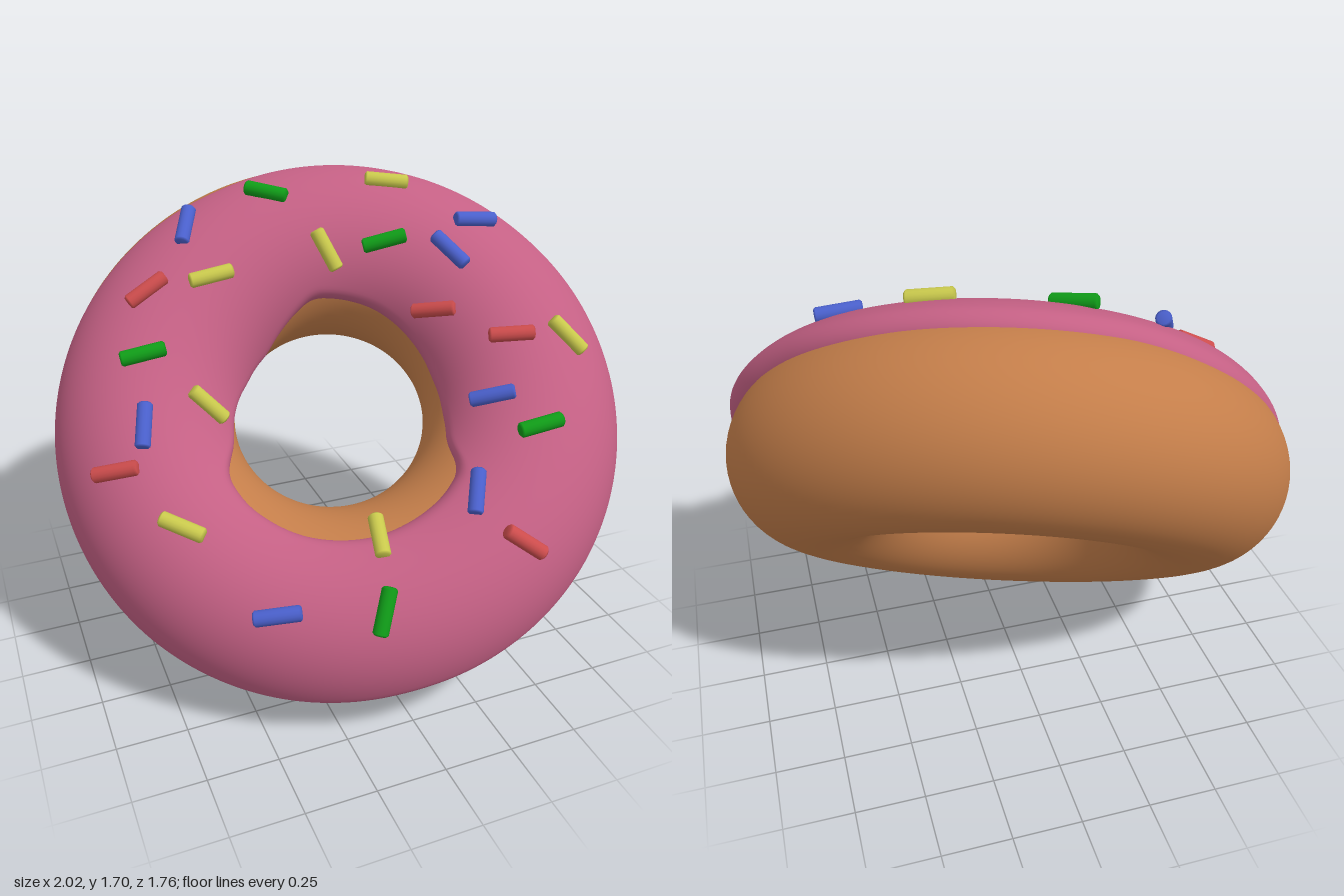
import * as THREE from 'three';

const R = 0.69, r = 0.33; // ring radius, tube radius
const RAD = Math.PI / 180;
const CENTRE = new THREE.Vector3(0, 0.833, -0.047);
// ring frame: U and V lie in the ring's plane, N is its axis
const N = new THREE.Vector3(-0.24, 0.686, 0.686).normalize();
const V = new THREE.Vector3(0, 1, -1).normalize();
const U = new THREE.Vector3().crossVectors(V, N).normalize();
const SHIFT = new THREE.Vector3(0.02, -0.046, 0.06); // icing slides down and lifts off

// icing limits: [degrees around ring, degrees around tube]
const OUTER = [[0, 22], [26, 37], [60, 45], [105, 48], [140, 32], [170, 14],
  [215, 8], [245, 13], [270, 18], [315, 13], [345, 13], [354, 20]];
const INNER = [[0, 155], [20, 153], [50, 148], [85, 145], [105, 157], [125, 168],
  [150, 167], [170, 159], [190, 151], [197, 143], [205, 130], [220, 124], [245, 119],
  [270, 117], [300, 118], [313, 121], [322, 139], [340, 150]];

// periodic linear lookup, softened by averaging nearby angles
function limit(table, deg) {
  let sum = 0;
  for (let k = -3; k <= 3; k++) {
    const d = (deg + k * 1.5 + 720) % 360;
    let i = table.length - 1;
    while (table[i][0] > d) i--;
    const a = table[i];
    const b = i + 1 < table.length ? table[i + 1] : [360, table[0][1]];
    sum += THREE.MathUtils.mapLinear(d, a[0], b[0], a[1], b[1]);
  }
  return sum / 7;
}

function tubeNormal(theta, phi) {
  return new THREE.Vector3(Math.cos(theta) * Math.cos(phi), Math.sin(theta) * Math.cos(phi), Math.sin(phi));
}

function tubePoint(theta, phi, offset) {
  return new THREE.Vector3(R * Math.cos(theta), R * Math.sin(theta), 0)
    .addScaledVector(tubeNormal(theta, phi), r + offset);
}

function icingThickness(theta, phi) {
  return 0.015 + SHIFT.dot(tubeNormal(theta, phi));
}

function icingGeometry() {
  const around = 240, across = 56, pos = [], index = [];
  for (let i = 0; i < around; i++) {
    const deg = (i / around) * 360;
    const lo = limit(OUTER, deg), hi = limit(INNER, deg);
    for (let j = 0; j <= across; j++) {
      // rows crowd towards both edges for a rounded lip
      const s = (1 - Math.cos((Math.PI * j) / across)) / 2;
      const phi = lo + (hi - lo) * s;
      const e = Math.min(1, Math.min(phi - lo, hi - phi) / 11);
      const lip = Math.sqrt(Math.max(0, 1 - (1 - e) ** 2));
      const t = (icingThickness(deg * RAD, phi * RAD) + 0.02) * lip - 0.02;
      pos.push(...tubePoint(deg * RAD, phi * RAD, t).toArray());
      if (j < across) {
        const a = i * (across + 1) + j, b = ((i + 1) % around) * (across + 1) + j;
        index.push(a, b, b + 1, a, b + 1, a + 1);
      }
    }
  }
  const g = new THREE.BufferGeometry();
  g.setAttribute('position', new THREE.Float32BufferAttribute(pos, 3));
  g.setIndex(index);
  g.computeVertexNormals();
  return g;
}

// sprinkles by colour: x, y, z, then direction
const SPRINKLES = [
  ['yellow', 0xc8c84c, [
    [0.30, 1.66, -0.23, 0.16, -0.01, 0.06], [-0.40, 1.40, -0.175, 0.16, 0.02, 0],
    [0.035, 1.45, -0.165, 0.07, -0.16, 0.06], [0.73, 1.19, 0.36, 0.1, -0.11, 0.1],
    [-0.505, 1.01, 0.055, 0.1, -0.14, 0.02], [-0.69, 0.75, 0.385, 0.13, -0.06, 0.08],
    [-0.07, 0.67, 0.585, 0.04, 0.02, -0.15]]],
  ['green', 0x109c18, [
    [-0.13, 1.625, -0.34, 0.13, -0.02, 0.1], [0.23, 1.48, -0.08, 0.13, 0.04, 0.05],
    [-0.69, 1.205, -0.04, 0.16, 0.02, 0.01], [0.53, 0.98, 0.57, 0.16, 0.02, 0.01],
    [-0.14, 0.54, 0.79, 0.07, 0.14, -0.08]]],
  ['blue', 0x4a60cc, [
    [-0.44, 1.55, -0.35, 0.08, 0.08, -0.14], [0.56, 1.535, -0.02, 0.15, -0.03, 0],
    [0.43, 1.46, 0.05, 0.08, -0.1, 0.1], [-0.74, 1.02, 0.13, 0.05, 0.12, -0.13],
    [0.44, 1.03, 0.41, 0.13, 0.06, 0.09], [0.26, 0.82, 0.64, 0.08, 0.09, -0.13],
    [-0.46, 0.525, 0.66, 0.14, 0.02, 0.05]]],
  ['red', 0xcc4c4c, [
    [-0.63, 1.38, -0.2, 0.14, 0.07, -0.02], [0.35, 1.27, 0.11, 0.14, 0.02, 0.08],
    [0.55, 1.205, 0.31, 0.15, 0.02, 0.07], [-0.86, 0.89, 0.18, 0.14, 0.04, 0.07],
    [0.36, 0.70, 0.82, 0.13, -0.1, 0.05]]],
];

export function createModel() {
  const model = new THREE.Group();
  model.name = 'doughnut';
  const ring = new THREE.Group();
  ring.name = 'tiltedRing';
  ring.quaternion.setFromRotationMatrix(new THREE.Matrix4().makeBasis(U, V, N));
  ring.position.copy(CENTRE);
  model.add(ring);

  const dough = new THREE.Mesh(new THREE.TorusGeometry(R, r, 64, 160),
    new THREE.MeshStandardMaterial({ color: 0xc47e4a }));
  dough.name = 'dough';
  ring.add(dough);

  const icing = new THREE.Mesh(icingGeometry(),
    new THREE.MeshStandardMaterial({ color: 0xc46084, side: THREE.DoubleSide }));
  icing.name = 'icing';
  ring.add(icing);

  // short rod with softened ends
  const rod = new THREE.LatheGeometry([[0, -0.08], [0.02, -0.08], [0.027, -0.073],
    [0.027, 0.073], [0.02, 0.08], [0, 0.08]].map(([x, y]) => new THREE.Vector2(x, y)), 16);
  const up = new THREE.Vector3(0, 1, 0);
  const toRing = ring.quaternion.clone().invert();

  for (const [name, color, rows] of SPRINKLES) {
    const group = new THREE.Group();
    group.name = name + 'Sprinkles';
    const material = new THREE.MeshStandardMaterial({ color });
    for (const [x, y, z, dx, dy, dz] of rows) {
      // snap to the icing and lay the rod along its surface
      const p = new THREE.Vector3(x, y, z).sub(CENTRE).applyQuaternion(toRing);
      const theta = Math.atan2(p.y, p.x);
      const phi = Math.atan2(p.z, Math.hypot(p.x, p.y) - R);
      const dir = new THREE.Vector3(dx, dy, dz).applyQuaternion(toRing)
        .projectOnPlane(tubeNormal(theta, phi)).normalize();
      const sprinkle = new THREE.Mesh(rod, material);
      sprinkle.name = name + 'Sprinkle';
      sprinkle.position.copy(tubePoint(theta, phi, icingThickness(theta, phi) + 0.01));
      sprinkle.quaternion.setFromUnitVectors(up, dir);
      group.add(sprinkle);
    }
    ring.add(group);
  }
  return model;
}
